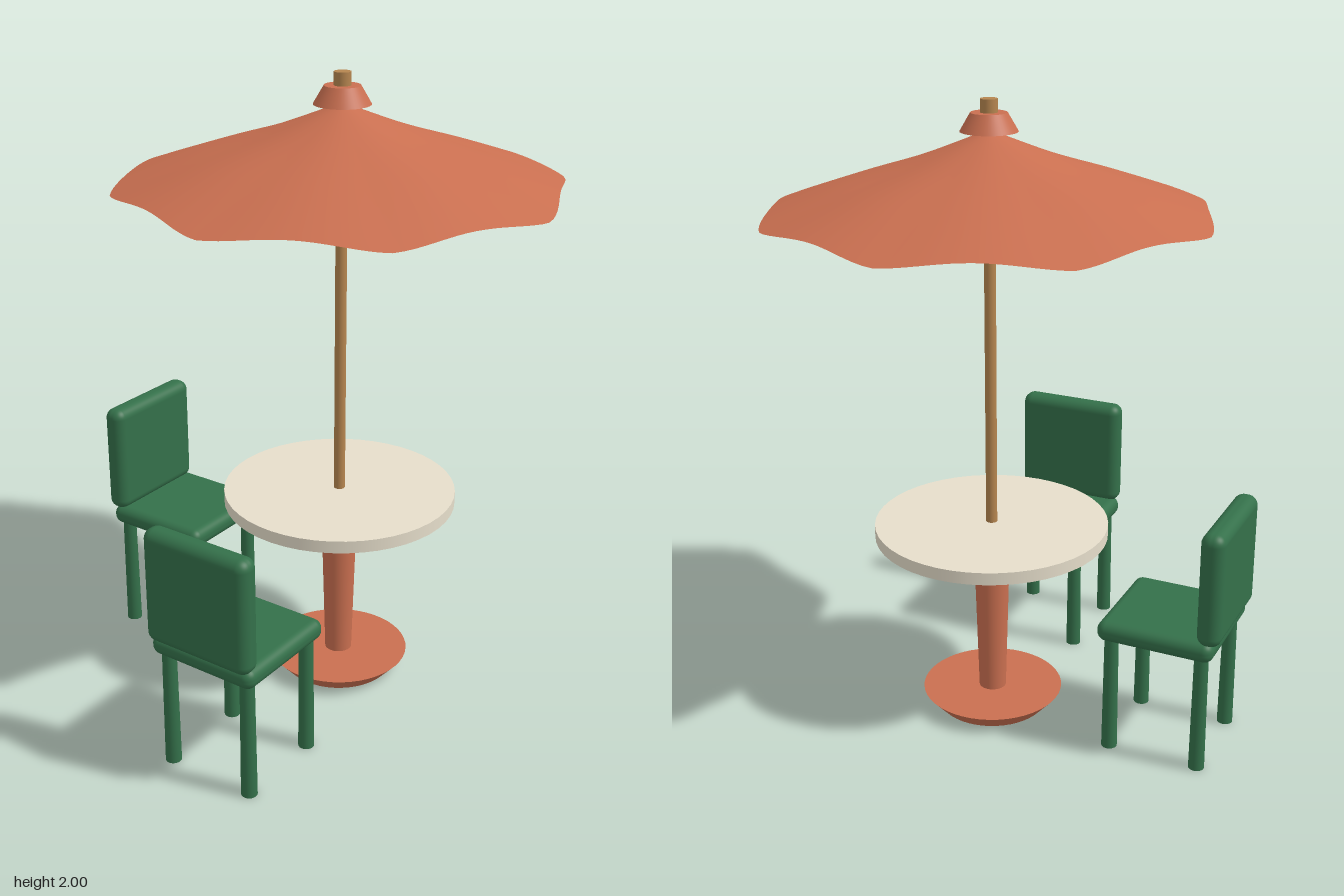
import * as THREE from 'three';
import { RoundedBoxGeometry } from 'three/addons/geometries/RoundedBoxGeometry.js';
import { mergeVertices } from 'three/addons/utils/BufferGeometryUtils.js';

const mat = (color, side = THREE.FrontSide) => new THREE.MeshStandardMaterial({ color, side });
const terracotta = mat(0xc96f50);
const canvas = mat(0xc96f50, THREE.DoubleSide);
const green = mat(0x34704a);
const cream = mat(0xe6decb);
const wood = mat(0xb5854f);

function add(parent, name, geometry, material, x = 0, y = 0, z = 0) {
  const mesh = new THREE.Mesh(geometry, material);
  mesh.name = name;
  mesh.position.set(x, y, z);
  parent.add(mesh);
  return mesh;
}

// Upright cylinder or cone between two heights
function column(parent, name, material, y0, y1, r0, r1) {
  const geo = new THREE.CylinderGeometry(r1, r0, y1 - y0, 48);
  return add(parent, name, geo, material, 0, (y0 + y1) / 2, 0);
}

// Eight-ribbed canopy: a lathe whose rim is drawn in and lifted between the ribs
function canopyGeometry() {
  const profile = new THREE.CatmullRomCurve3([
    [0.69, 1.66], [0.47, 1.737], [0.23, 1.818], [0.018, 1.903],
  ].map(([r, y]) => new THREE.Vector3(r, y, 0)));
  const points = profile.getPoints(20).map((p) => new THREE.Vector2(p.x, p.y));
  let geo = new THREE.LatheGeometry(points, 128);
  const pos = geo.attributes.position;
  for (let i = 0; i < pos.count; i++) {
    const x = pos.getX(i), z = pos.getZ(i);
    const t = Math.hypot(x, z) / 0.69;
    const sag = Math.abs(Math.sin(4 * Math.atan2(x, z))) ** 1.4 * t * t;
    const k = 1 - 0.06 * sag;
    pos.setXYZ(i, x * k, pos.getY(i) + 0.02 * sag, z * k);
  }
  geo.deleteAttribute('uv');
  geo.deleteAttribute('normal');
  geo = mergeVertices(geo, 1e-4);
  geo.computeVertexNormals();
  return geo;
}

// Chair facing +z, centred on its seat
function makeChair(name) {
  const chair = new THREE.Group();
  chair.name = name;
  add(chair, 'seat', new RoundedBoxGeometry(0.375, 0.066, 0.375, 5, 0.03), green, 0, 0.417, 0);
  add(chair, 'backrest', new RoundedBoxGeometry(0.375, 0.37, 0.076, 5, 0.033), green, 0, 0.625, -0.17);
  for (const x of [-0.146, 0.146]) {
    for (const z of [-0.146, 0.146]) {
      add(chair, z > 0 ? 'frontLeg' : 'backLeg',
        new THREE.CylinderGeometry(0.022, 0.025, 0.4, 20), green, x, 0.2, z);
    }
  }
  return chair;
}

export function createModel() {
  const model = new THREE.Group();
  model.name = 'patioSet';
  const set = new THREE.Group();
  set.name = 'tableAndChairs';
  set.position.set(0.06, 0, 0.06);
  model.add(set);

  // Table
  column(set, 'base', terracotta, 0, 0.055, 0.18, 0.23);
  column(set, 'pedestal', terracotta, 0.05, 0.62, 0.044, 0.06);
  column(set, 'tableTop', cream, 0.615, 0.655, 0.375, 0.375);

  // Umbrella
  column(set, 'pole', wood, 0.65, 1.965, 0.018, 0.018);
  add(set, 'canopy', canopyGeometry(), canvas);
  column(set, 'cap', terracotta, 1.905, 1.96, 0.087, 0.055);
  column(set, 'finial', wood, 1.955, 2.0, 0.026, 0.026);

  // Two chairs, a quarter turn apart around the table
  ['backChair', 'rightChair'].forEach((name, i) => {
    const pivot = new THREE.Group();
    pivot.name = name + 'Pivot';
    pivot.rotation.y = i * Math.PI / 2;
    const chair = makeChair(name);
    chair.position.set(-0.047, 0, -0.607);
    pivot.add(chair);
    set.add(pivot);
  });
  return model;
}
